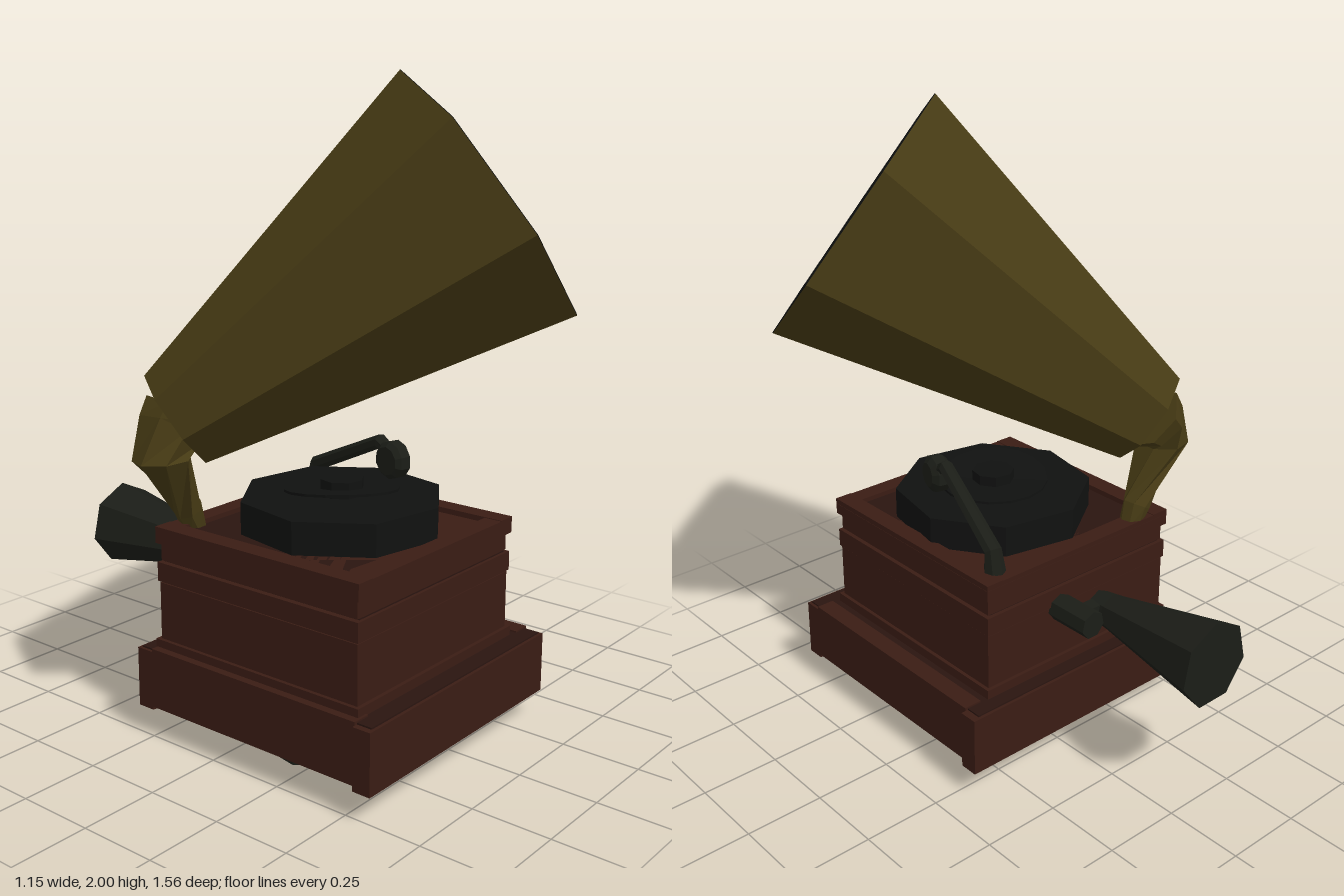
import * as THREE from 'three';

const V = (x, y, z) => new THREE.Vector3(x, y, z);
const mat = (color, side = THREE.FrontSide) =>
  new THREE.MeshStandardMaterial({ color, flatShading: true, side });

const wood = mat(0x3a1c14);
const darkWood = mat(0x2a1510);
const brass = mat(0x463a14);
const black = mat(0x101110);
const iron = mat(0x1b1d17);

export function createModel() {
  const model = new THREE.Group();
  model.name = 'gramophone';

  const add = (name, geometry, material, parent = model) => {
    const mesh = new THREE.Mesh(geometry, material);
    mesh.name = name;
    parent.add(mesh);
    return mesh;
  };

  // Box given by its extents along each axis
  const box = (name, [x0, x1], [y0, y1], [z0, z1], material, parent) => {
    const mesh = add(name, new THREE.BoxGeometry(x1 - x0, y1 - y0, z1 - z0), material, parent);
    mesh.position.set((x0 + x1) / 2, (y0 + y1) / 2, (z0 + z1) / 2);
    return mesh;
  };

  // Faceted, capped loft through rings placed along a path
  const loft = (points, radii, sides, ref) => {
    const pos = [];
    const index = [];
    const last = points.length - 1;
    points.forEach((p, k) => {
      const n = V(0, 0, 0);
      if (k > 0) n.add(p.clone().sub(points[k - 1]).normalize());
      if (k < last) n.add(points[k + 1].clone().sub(p).normalize());
      n.normalize();
      const a = ref.clone().addScaledVector(n, -ref.dot(n)).normalize();
      const b = n.clone().cross(a);
      for (let i = 0; i < sides; i++) {
        const t = (i / sides) * Math.PI * 2;
        const q = p.clone()
          .addScaledVector(a, Math.cos(t) * radii[k])
          .addScaledVector(b, Math.sin(t) * radii[k]);
        pos.push(q.x, q.y, q.z);
      }
    });
    for (let k = 0; k < last; k++) {
      for (let i = 0; i < sides; i++) {
        const j = (i + 1) % sides;
        const a = k * sides + i, b = k * sides + j;
        index.push(a, b, b + sides, a, b + sides, a + sides);
      }
    }
    for (let i = 1; i < sides - 1; i++) {
      const e = last * sides;
      index.push(0, i + 1, i, e, e + i, e + i + 1);
    }
    const g = new THREE.BufferGeometry();
    g.setAttribute('position', new THREE.Float32BufferAttribute(pos, 3));
    g.setIndex(index);
    const flat = g.toNonIndexed();
    flat.computeVertexNormals();
    return flat;
  };

  // Plinth: overlapping boards around an open underside
  const plinth = new THREE.Group();
  plinth.name = 'plinth';
  model.add(plinth);
  box('frontBoard', [-0.51, 0.38], [0.09, 0.28], [0.53, 0.59], wood, plinth);
  box('backBoard', [-0.5, 0.395], [0.09, 0.28], [-0.31, -0.25], wood, plinth);
  box('leftBoard', [0.32, 0.38], [0.1, 0.29], [-0.25, 0.53], wood, plinth);
  box('rightBoard', [-0.5, -0.44], [0.1, 0.29], [-0.25, 0.53], wood, plinth);
  box('plinthTop', [-0.49, 0.37], [0.25, 0.285], [-0.3, 0.58], darkWood, plinth);

  // Cabinet: stacked bands of slightly different width
  const cabinet = new THREE.Group();
  cabinet.name = 'cabinet';
  model.add(cabinet);
  const bands = [
    [0.28, 0.315, 0.012], [0.315, 0.495, 0], [0.5, 0.56, 0.005],
    [0.565, 0.615, -0.004], [0.62, 0.655, 0.008],
  ];
  box('cabinetCore', [-0.45, 0.27], [0.28, 0.655], [-0.235, 0.505], darkWood, cabinet);
  bands.forEach(([y0, y1, d]) =>
    box('cabinetBand', [-0.463 - d, 0.283 + d], [y0, y1], [-0.243 - d, 0.51 + d], wood, cabinet));

  // Raised rim around the cabinet top
  for (const [x0, x1] of [[-0.472, -0.41], [0.23, 0.29]])
    box('sideRim', [x0, x1], [0.655, 0.672], [-0.25, 0.52], wood, cabinet);
  for (const [z0, z1] of [[-0.25, -0.19], [0.46, 0.52]])
    box('endRim', [-0.41, 0.23], [0.655, 0.67], [z0, z1], wood, cabinet);

  // Eight-sided motor housing below and turntable above
  const drum = (name, r, y0, y1, material, turn = 0.2) => {
    const mesh = add(name, new THREE.CylinderGeometry(r, r, y1 - y0, 8), material);
    mesh.position.set(-0.065, (y0 + y1) / 2, 0.138);
    mesh.rotation.y = turn;
    return mesh;
  };
  const housing = drum('motorHousing', 0.315, 0.007, 0.27, iron);
  housing.rotation.z = 0.01;
  drum('turntable', 0.315, 0.65, 0.755, black);
  drum('spindleCap', 0.068, 0.75, 0.805, black);

  // Thin record, lifted at one edge
  const recordGeometry = new THREE.CylinderGeometry(0.175, 0.175, 0.008, 16, 1);
  const rp = recordGeometry.attributes.position;
  for (let i = 0; i < rp.count; i++) {
    const lift = Math.max(0, rp.getZ(i) - rp.getX(i));
    rp.setY(i, rp.getY(i) + lift * 0.12);
  }
  add('record', recordGeometry, black).position.set(-0.065, 0.768, 0.138);

  // Tone arm and sound box
  add('toneArm', loft(
    [V(0.21, 0.66, -0.19), V(0.21, 0.735, -0.18), V(0.135, 0.875, 0.13), V(0.125, 0.84, 0.19)],
    [0.035, 0.028, 0.024, 0.02], 7, V(1, 0, 0.2)), iron);
  add('soundBox', loft(
    [V(0.09, 0.83, 0.185), V(0.105, 0.83, 0.188), V(0.14, 0.83, 0.196), V(0.155, 0.83, 0.2)],
    [0.045, 0.06, 0.06, 0.04], 10, V(0, 1, 0)), iron);

  // Horn: seven-sided cone with a dark mouth
  const up = V(-0.16, 0.36, -0.19);
  const throat = V(-0.42, 1.0, -0.2);
  const mouth = V(0.22, 1.64, 0.44);
  const axis = mouth.clone().sub(throat).normalize();
  add('horn', loft([throat, mouth], [0.16, 0.44], 7, up), brass);
  add('hornMouth', loft(
    [mouth.clone().addScaledVector(axis, -0.003), mouth.clone().addScaledVector(axis, 0.002)],
    [0.439, 0.439], 7, up), black);

  // Neck: bent pipe from the cabinet corner up to the horn
  add('hornNeck', loft(
    [V(-0.34, 0.64, -0.21), V(-0.37, 0.71, -0.21), V(-0.495, 0.895, -0.19),
      V(-0.45, 0.97, -0.205), V(-0.42, 1.0, -0.2)],
    [0.035, 0.045, 0.088, 0.1, 0.115], 7, up), brass);

  // Winding crank at the back with a flared grip
  const crank = new THREE.Group();
  crank.name = 'crank';
  model.add(crank);
  add('crankShaft', loft([V(-0.005, 0.49, -0.24), V(-0.005, 0.49, -0.395)],
    [0.045, 0.045], 7, V(0, 1, 0)), iron, crank);
  box('crankLink', [-0.12, 0], [0.46, 0.52], [-0.36, -0.315], iron, crank);
  add('crankGrip', loft([V(-0.11, 0.485, -0.31), V(-0.112, 0.485, -0.37), V(-0.117, 0.492, -0.78)],
    [0.05, 0.058, 0.136], 7, V(0, 1, 0)), iron, crank);

  return model;
}
